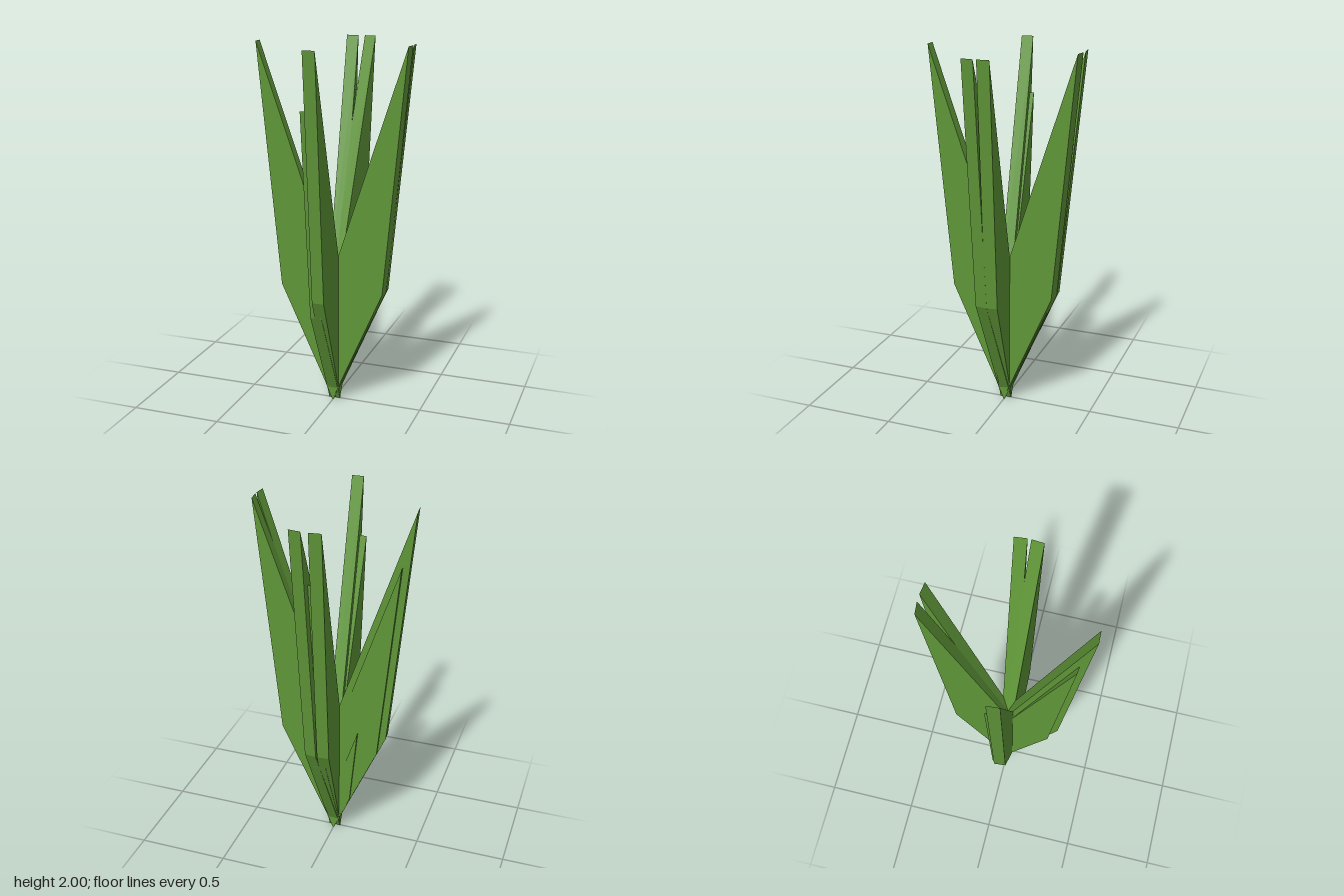
import * as THREE from 'three';

const THICKNESS = 0.065;

// Half-profile of one full-size leaf: base point, outer knee, tip, inner crotch
const PROFILE = [[0, 0], [0.295, 0.67], [0.42, 2], [0, 0.75]];

// Each leaf: heading of its tip on the ground plane (x, z) and its size
const LEAVES = [
  ['leftLeaf', 0.42, -0.042, 1],
  ['leftLeaf', 0.42, 0.041, 1],
  ['rightLeaf', -0.42, 0.034, 1],
  ['rightLeaf', -0.357, 0.005, 0.85],
  ['rightSprout', -0.145, -0.011, 0.345],
  ['backLeaf', -0.043, -0.42, 1],
  ['backLeaf', 0.06, -0.42, 1],
  ['backLeaf', 0.002, -0.358, 0.853],
  ['frontLeaf', 0.0145, 0.42, 1],
  ['frontLeaf', -0.026, 0.356, 0.847],
];

// Flat leaf slab of constant thickness, growing outward along +x
function leafGeometry(size) {
  const shape = new THREE.Shape(
    PROFILE.map(([r, y]) => new THREE.Vector2(r * size, y * size))
  );
  const geometry = new THREE.ExtrudeGeometry(shape, { depth: THICKNESS, bevelEnabled: false });
  return geometry.translate(0, 0, -THICKNESS / 2);
}

export function createModel() {
  const plant = new THREE.Group();
  plant.name = 'plant';
  const leafGreen = new THREE.MeshStandardMaterial({ color: 0x5f9638 });
  leafGreen.name = 'leafGreen';

  for (const [name, x, z, size] of LEAVES) {
    const leaf = new THREE.Mesh(leafGeometry(size), leafGreen);
    leaf.name = name;
    leaf.rotation.y = Math.atan2(-z, x);
    plant.add(leaf);
  }
  return plant;
}
